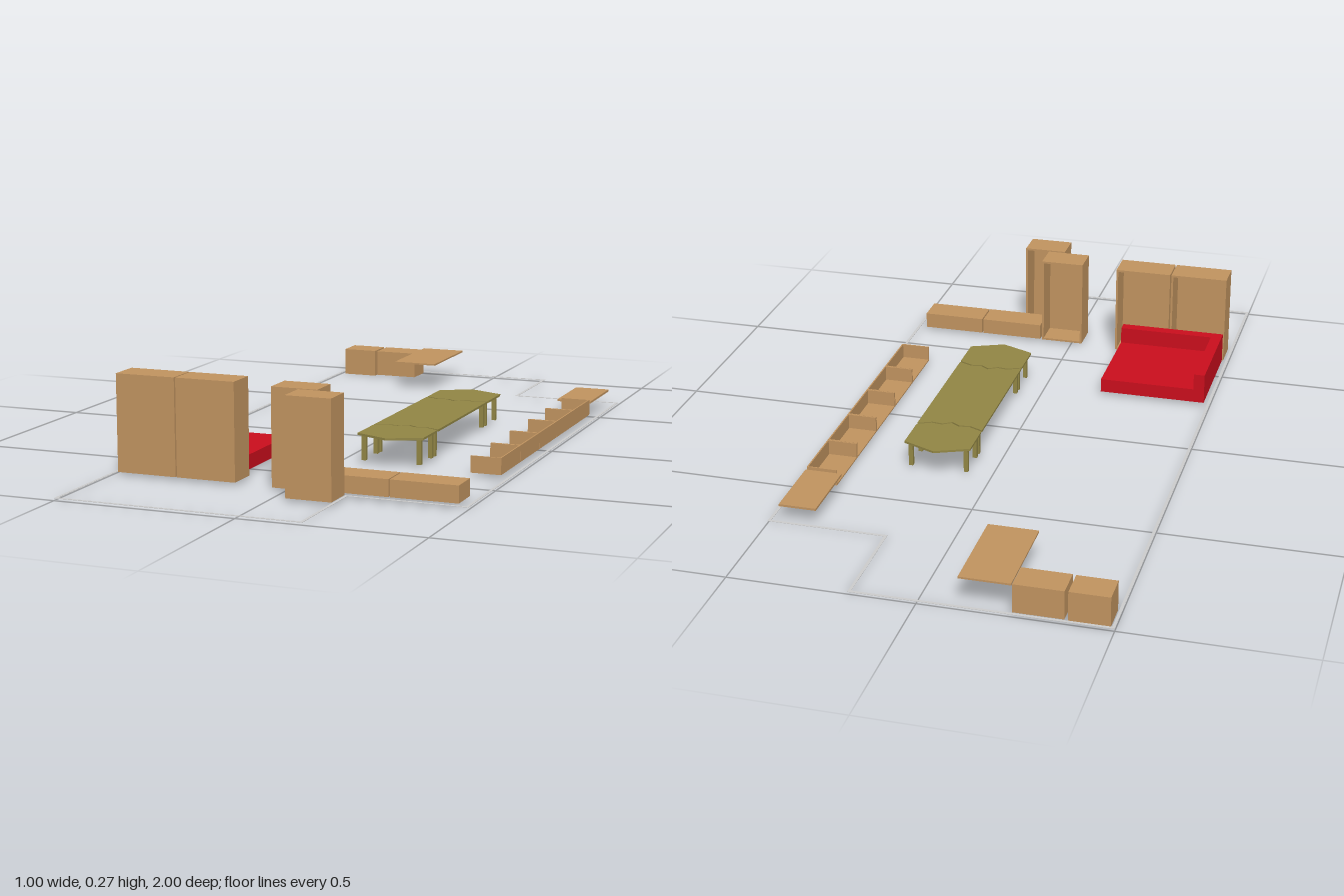
import * as THREE from 'three';

const mat = (color) => new THREE.MeshStandardMaterial({ color, flatShading: true, side: THREE.DoubleSide });
const wood = mat(0xc0935f), red = mat(0xc90e1c), olive = mat(0x918544), grey = mat(0xcccccc);

// Box given by its lower and upper bounds on each axis
function box(parent, name, m, [x0, x1], [y0, y1], [z0, z1]) {
  const mesh = new THREE.Mesh(new THREE.BoxGeometry(x1 - x0, y1 - y0, z1 - z0), m);
  mesh.position.set((x0 + x1) / 2, (y0 + y1) / 2, (z0 + z1) / 2);
  mesh.name = name;
  parent.add(mesh);
  return mesh;
}

function group(parent, name) {
  const g = new THREE.Group();
  g.name = name;
  parent.add(g);
  return g;
}

// Horizontal plate from an x/z outline, with its top at y
function plate(parent, name, m, points, y, thick, hole) {
  const vec = (list) => list.map(([x, z]) => new THREE.Vector2(x, z));
  const shape = new THREE.Shape(vec(points));
  if (hole) shape.holes.push(new THREE.Path(vec(hole)));
  const geo = new THREE.ExtrudeGeometry(shape, { depth: thick, bevelEnabled: false });
  geo.rotateX(Math.PI / 2);
  const mesh = new THREE.Mesh(geo, m);
  mesh.position.y = y;
  mesh.name = name;
  parent.add(mesh);
}

// Tall cabinet, open towards -z
function tallCabinet(parent, name, [x0, x1], [y0, y1], [z0, z1]) {
  const g = group(parent, name), t = 0.006;
  box(g, 'backPanel', wood, [x0, x1], [y0, y1], [z1 - t, z1]);
  box(g, 'sidePanel', wood, [x0, x0 + t], [y0, y1], [z0, z1 - t]);
  box(g, 'sidePanel', wood, [x1 - t, x1], [y0, y1], [z0, z1 - t]);
  box(g, 'bottomPanel', wood, [x0 + t, x1 - t], [y0, y0 + t], [z0, z1 - t]);
  box(g, 'topPanel', wood, [x0 + t, x1 - t], [y1 - t, y1], [z0, z1 - t]);
}

export function createModel() {
  const model = new THREE.Group();
  model.name = 'furnishedRoom';

  // Floor outline: a thin strip around the room
  const w = 0.008;
  plate(model, 'roomOutline', grey,
    [[-0.5, -1], [0.178, -1], [0.178, -0.71], [0.5, -0.71], [0.5, 0.716], [0.178, 0.716], [0.178, 1], [-0.5, 1]],
    0.007, 0.001,
    [[-0.5 + w, -1 + w], [0.178 - w, -1 + w], [0.178 - w, -0.71 + w], [0.5 - w, -0.71 + w],
      [0.5 - w, 0.716 - w], [0.178 - w, 0.716 - w], [0.178 - w, 1 - w], [-0.5 + w, 1 - w]]);

  // Tall cabinets
  tallCabinet(model, 'wardrobe', [-0.485, -0.316], [0.008, 0.273], [0.602, 0.69]);
  tallCabinet(model, 'wardrobe', [-0.312, -0.145], [0.008, 0.273], [0.602, 0.69]);
  tallCabinet(model, 'tallCabinet', [-0.035, 0.093], [0.008, 0.271], [0.617, 0.703]);
  tallCabinet(model, 'tallCabinet', [0.044, 0.169], [0.008, 0.271], [0.712, 0.797]);

  // Low cabinets along the front wall
  box(model, 'lowCabinet', wood, [0.098, 0.283], [0.01, 0.056], [0.615, 0.7]);
  box(model, 'lowCabinet', wood, [0.287, 0.47], [0.01, 0.056], [0.615, 0.7]);

  // Row of open trays along the side wall
  const row = group(model, 'shelfRow'), t = 0.004, step = 0.17;
  for (let i = 0; i < 5; i++) {
    const z0 = -0.48 + i * step, z1 = z0 + step - 0.001;
    box(row, 'shelfBottom', wood, [0.387, 0.472], [0.01, 0.01 + t], [z0, z1]);
    box(row, 'shelfBack', wood, [0.472 - t, 0.472], [0.01 + t, 0.056], [z0, z1]);
    for (const z of [z0, z1 - t]) {
      box(row, 'shelfDivider', wood, [0.387, 0.472 - t], [0.01 + t, 0.056], [z, z + t]);
    }
  }
  box(model, 'sideBoard', wood, [0.371, 0.474], [0.044, 0.05], [-0.69, -0.485]);

  // Back corner: two cabinets and a desk top
  box(model, 'backCabinet', wood, [-0.487, -0.381], [0, 0.083], [-0.985, -0.902]);
  box(model, 'backCabinet', wood, [-0.372, -0.241], [0.004, 0.083], [-0.985, -0.9]);
  box(model, 'deskTop', wood, [-0.24, -0.105], [0.082, 0.087], [-0.99, -0.717]);

  // Corner sofa: seat with a back on two sides
  const sofa = group(model, 'sofa');
  box(sofa, 'seat', red, [-0.482, -0.172], [0.01, 0.05], [0.287, 0.597]);
  box(sofa, 'sideBack', red, [-0.482, -0.45], [0.05, 0.098], [0.287, 0.597]);
  box(sofa, 'longBack', red, [-0.45, -0.172], [0.05, 0.098], [0.565, 0.597]);

  // Conference table: middle top and two pointed end tops with matching wavy seams
  const table = group(model, 'table');
  const top = 0.086, thick = 0.006, mid = 0.01;
  const seam = (z, s) => [[0.056, z], [0.095, z + 0.018 * s], [0.125, z + 0.014 * s], [0.15, z + 0.03 * s],
    [0.175, z + 0.014 * s], [0.205, z + 0.018 * s], [0.244, z]];
  plate(table, 'middleTop', olive,
    [...seam(mid - 0.213, 1), ...seam(mid + 0.213, -1).reverse()], top, thick);
  for (const s of [-1, 1]) {
    plate(table, 'endTop', olive,
      [...seam(mid + s * 0.22, -s), [0.244, mid + s * 0.33], [0.15, mid + s * 0.37], [0.056, mid + s * 0.33]],
      top, thick);
    for (const x of [0.071, 0.229]) {
      for (const d of [0.204, 0.23, 0.318]) {
        const z = mid + s * d;
        box(table, 'tableLeg', olive, [x - 0.006, x + 0.006], [0.01, top - thick], [z - 0.006, z + 0.006]);
      }
    }
  }
  return model;
}
